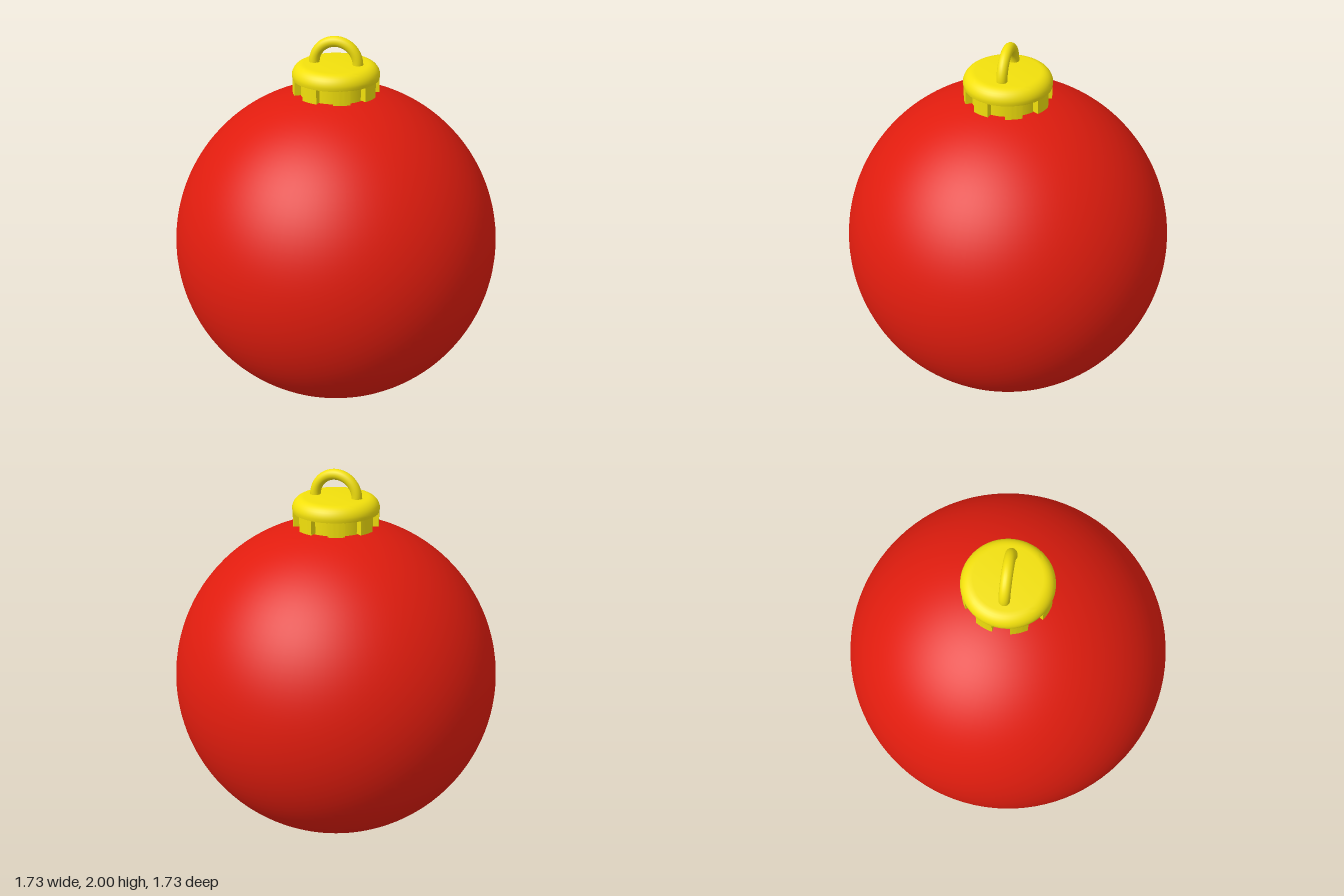
import * as THREE from 'three';
import { toCreasedNormals } from 'three/addons/utils/BufferGeometryUtils.js';

const RED = new THREE.MeshStandardMaterial({ color: 0xe01c0e });
const GOLD = new THREE.MeshStandardMaterial({ color: 0xf2e00c });

const BALL_R = 0.865;
const CAP_TOP = 1.862, LIP_Y = 1.787, TAB_BOTTOM = 1.714;
const CAP_R = 0.223, TAB_R = 0.22, CORE_R = 0.185;

function add(parent, name, geometry, material) {
  const mesh = new THREE.Mesh(geometry, material);
  mesh.name = name;
  parent.add(mesh);
  return mesh;
}

// Cap: recessed core, overhanging lip, rounded shoulder and flat top
function capGeometry() {
  const points = [
    new THREE.Vector2(CORE_R, 1.69),
    new THREE.Vector2(CORE_R, LIP_Y),
    new THREE.Vector2(TAB_R, LIP_Y),
  ];
  for (let i = 0; i <= 8; i++) {
    const a = (i / 8) * Math.PI / 2;
    points.push(new THREE.Vector2(
      CAP_R - 0.06 * (1 - Math.cos(a)),
      1.802 + (CAP_TOP - 1.802) * Math.sin(a)));
  }
  points.push(new THREE.Vector2(0, CAP_TOP));
  return toCreasedNormals(new THREE.LatheGeometry(points, 64), 0.6);
}

// One curved tab: a ring sector pulled upwards
function tabGeometry() {
  const half = Math.PI / 16;
  const shape = new THREE.Shape();
  shape.absarc(0, 0, TAB_R, -half, half, false);
  shape.absarc(0, 0, CORE_R - 0.005, half, -half, true);
  const geometry = new THREE.ExtrudeGeometry(shape, {
    depth: LIP_Y - TAB_BOTTOM + 0.004, bevelEnabled: false, curveSegments: 6,
  });
  geometry.rotateX(-Math.PI / 2);
  geometry.translate(0, TAB_BOTTOM, 0);
  return toCreasedNormals(geometry, 0.6);
}

export function createModel() {
  const model = new THREE.Group();
  model.name = 'bauble';

  add(model, 'ball', new THREE.SphereGeometry(BALL_R, 96, 64), RED).position.y = BALL_R;

  const cap = new THREE.Group();
  cap.name = 'cap';
  model.add(cap);
  add(cap, 'capBody', capGeometry(), GOLD);

  // Eight tabs, leaving slots at the front, back and sides
  const tab = tabGeometry();
  for (let i = 0; i < 8; i++) {
    add(cap, 'capTab', tab, GOLD).rotation.y = (i + 0.5) * Math.PI / 4;
  }

  // Half-ring hanger with its feet on the cap
  const hanger = add(model, 'hangerLoop',
    new THREE.TorusGeometry(0.113, 0.027, 20, 40, Math.PI), GOLD);
  hanger.position.y = 1.86;

  return model;
}
